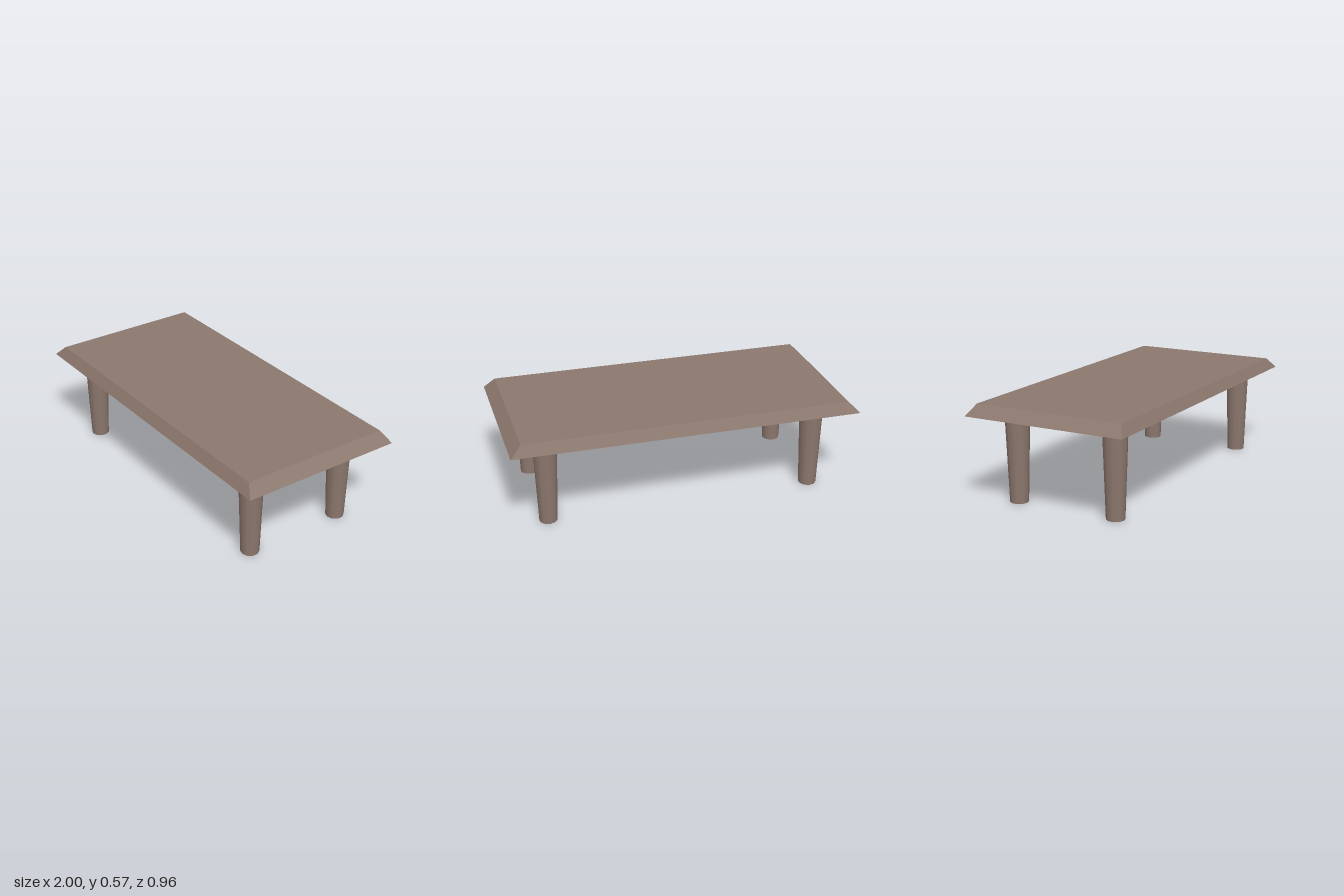
import * as THREE from 'three';

const wood = new THREE.MeshStandardMaterial({ color: 0x8c786e, side: THREE.DoubleSide });
wood.name = 'brown wood';

const LEG_HEIGHT = 0.508;
const TOP_HEIGHT = 0.062;

// Hollow slab with sloping edges, open underneath
function makeTabletop() {
  const geometry = new THREE.BoxGeometry(2, TOP_HEIGHT, 0.961);
  const position = geometry.attributes.position;
  for (let i = 0; i < position.count; i++) {
    if (position.getY(i) > 0) {
      position.setX(i, Math.sign(position.getX(i)) * 0.937);
      position.setZ(i, Math.sign(position.getZ(i)) * 0.443);
    }
  }
  // Drop the bottom face (the fourth side of the box)
  const index = Array.from(geometry.index.array);
  index.splice(18, 6);
  geometry.setIndex(index);
  geometry.clearGroups();
  geometry.computeVertexNormals();
  const top = new THREE.Mesh(geometry, wood);
  top.name = 'tabletop';
  top.position.y = LEG_HEIGHT + TOP_HEIGHT / 2;
  return top;
}

export function createModel() {
  const table = new THREE.Group();
  table.name = 'lowTable';
  table.add(makeTabletop());

  // Tapered hollow legs
  const legGeometry = new THREE.CylinderGeometry(0.0695, 0.052, LEG_HEIGHT, 10, 1, true);
  const legs = [
    ['frontLeftLeg', 0.785, 0.31],
    ['frontRightLeg', -0.781, 0.318],
    ['backLeftLeg', 0.785, -0.292],
    ['backRightLeg', -0.781, -0.292],
  ];
  for (const [name, x, z] of legs) {
    const leg = new THREE.Mesh(legGeometry, wood);
    leg.name = name;
    leg.position.set(x, LEG_HEIGHT / 2, z);
    table.add(leg);
  }
  return table;
}
